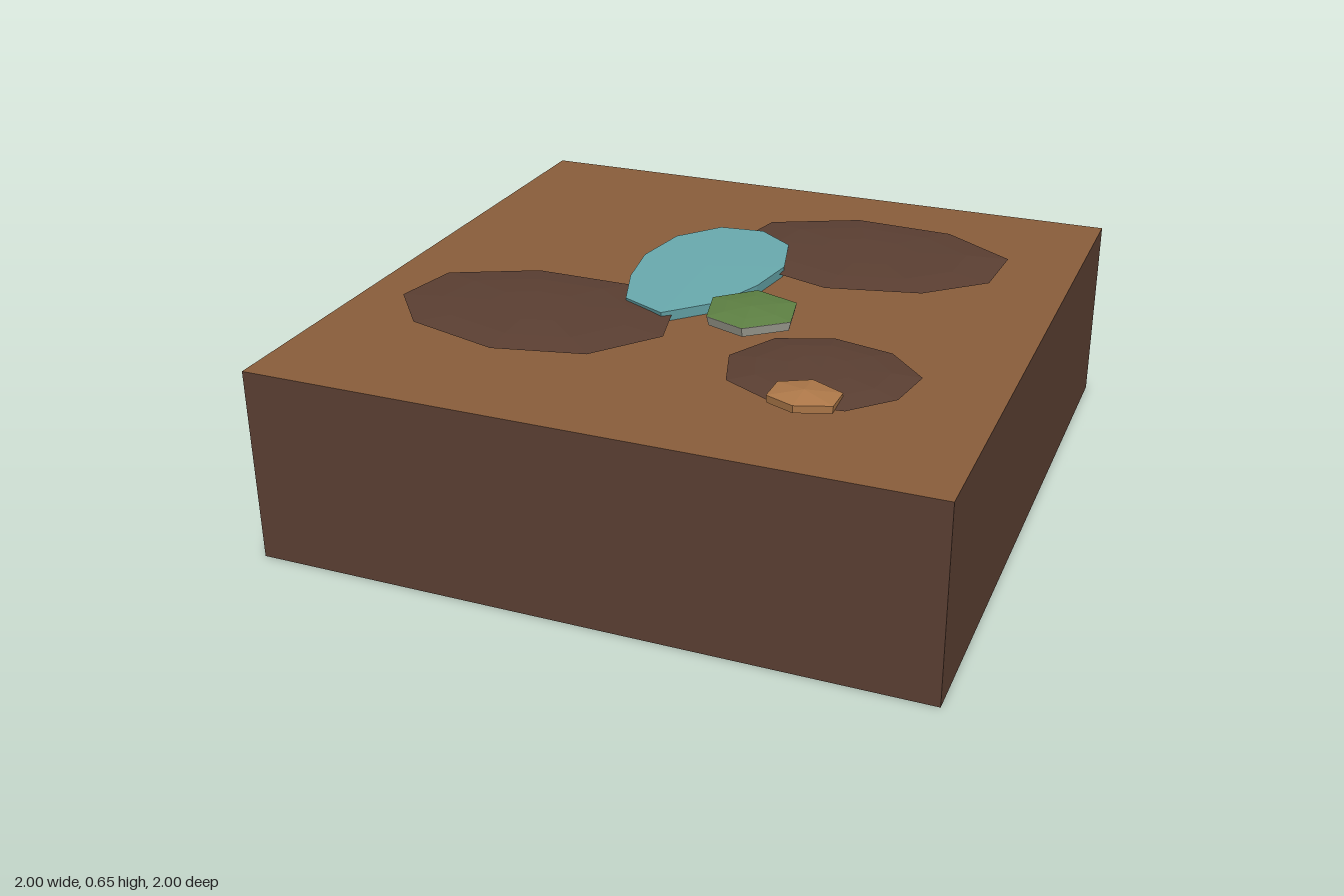
import * as THREE from 'three';

const paint = (color) => new THREE.MeshStandardMaterial({ color, flatShading: true });

// Closed solid from an outline of [x, z] points (running from +x towards +z),
// repeated at each level [y, scale]; scale 0 closes to a point.
function loft(outline, levels) {
  const n = outline.length;
  const cx = outline.reduce((s, p) => s + p[0], 0) / n;
  const cz = outline.reduce((s, p) => s + p[1], 0) / n;
  const pos = [], index = [];
  for (const [y, s] of levels) {
    for (const [x, z] of outline) pos.push(cx + (x - cx) * s, y, cz + (z - cz) * s);
  }
  for (let k = 0; k < levels.length - 1; k++) {
    for (let i = 0; i < n; i++) {
      const j = (i + 1) % n;
      const a = k * n + i, b = k * n + j, d = a + n, c = b + n;
      if (levels[k + 1][1] > 0) index.push(a, d, c);
      if (levels[k][1] > 0) index.push(a, c, b);
    }
  }
  const g = new THREE.BufferGeometry();
  g.setAttribute('position', new THREE.Float32BufferAttribute(pos, 3));
  g.setIndex(index);
  const flat = g.toNonIndexed();
  flat.computeVertexNormals();
  return flat;
}

export function createModel() {
  const model = new THREE.Group();
  model.name = 'groundTile';
  const add = (name, geometry, material) => {
    const mesh = new THREE.Mesh(geometry, material);
    mesh.name = name;
    model.add(mesh);
    return mesh;
  };

  const H = 0.588;
  const darkSoil = paint(0x5c4033), topSoil = paint(0x8b5e3c);

  // Soil block with a lighter top face
  const block = new THREE.BoxGeometry(2, H, 2);
  add('soilBlock', block, [darkSoil, darkSoil, topSoil, darkSoil, darkSoil, darkSoil])
    .position.y = H / 2;

  // Thin lens-shaped mud patches
  const lens = [[0.592, 0], [0.597, 0.7], [0.607, 1], [0.616, 0.7], [0.62, 0.35], [0.621, 0]];
  const patches = {
    mudPatchBack: [[0.235, -0.73], [0.55, -0.71], [0.78, -0.555], [0.77, -0.335], [0.6, -0.18],
      [0.315, -0.115], [0.06, -0.2], [-0.07, -0.42], [-0.03, -0.605]],
    mudPatchRight: [[-0.555, 0.07], [-0.25, 0.075], [-0.04, 0.235], [0, 0.4], [-0.15, 0.59],
      [-0.42, 0.65], [-0.715, 0.565], [-0.85, 0.395], [-0.81, 0.19]],
    mudPatchFront: [[0.46, 0.235], [0.64, 0.275], [0.76, 0.4], [0.735, 0.555], [0.625, 0.67],
      [0.435, 0.69], [0.27, 0.605], [0.22, 0.45], [0.3, 0.295]],
  };
  for (const [name, outline] of Object.entries(patches)) add(name, loft(outline, lens), darkSoil);

  // Flat water pool
  const pool = [[-0.155, -0.46], [-0.015, -0.475], [0.105, -0.385], [0.155, -0.2], [0.13, -0.025],
    [0.07, 0.14], [-0.06, 0.275], [-0.2, 0.21], [-0.26, 0.04], [-0.29, -0.14], [-0.26, -0.33]];
  add('waterPool', loft(pool, [[0.589, 0], [0.589, 0.98], [0.622, 1], [0.623, 0]]), paint(0x6aacb0));

  // Grey stone with a moss cap
  const stone = [[0.155, 0.04], [0.295, 0.09], [0.325, 0.23], [0.21, 0.325], [0.085, 0.28], [0.05, 0.14]];
  add('stone', loft(stone, [[0.604, 0], [0.606, 0.95], [0.634, 1], [0.635, 0]]), paint(0xa3a396));
  add('mossCap', loft(stone, [[0.635, 1], [0.641, 0.6], [0.646, 0]]), paint(0x5f8244));

  // Small faceted clay pebble
  const pebble = [[0.5, 0.555], [0.6, 0.605], [0.6, 0.69], [0.5, 0.725], [0.415, 0.69], [0.415, 0.6]];
  add('clayPebble', loft(pebble, [[0.604, 0], [0.604, 0.98], [0.626, 1], [0.638, 0]]), paint(0xb07a4a));

  return model;
}
